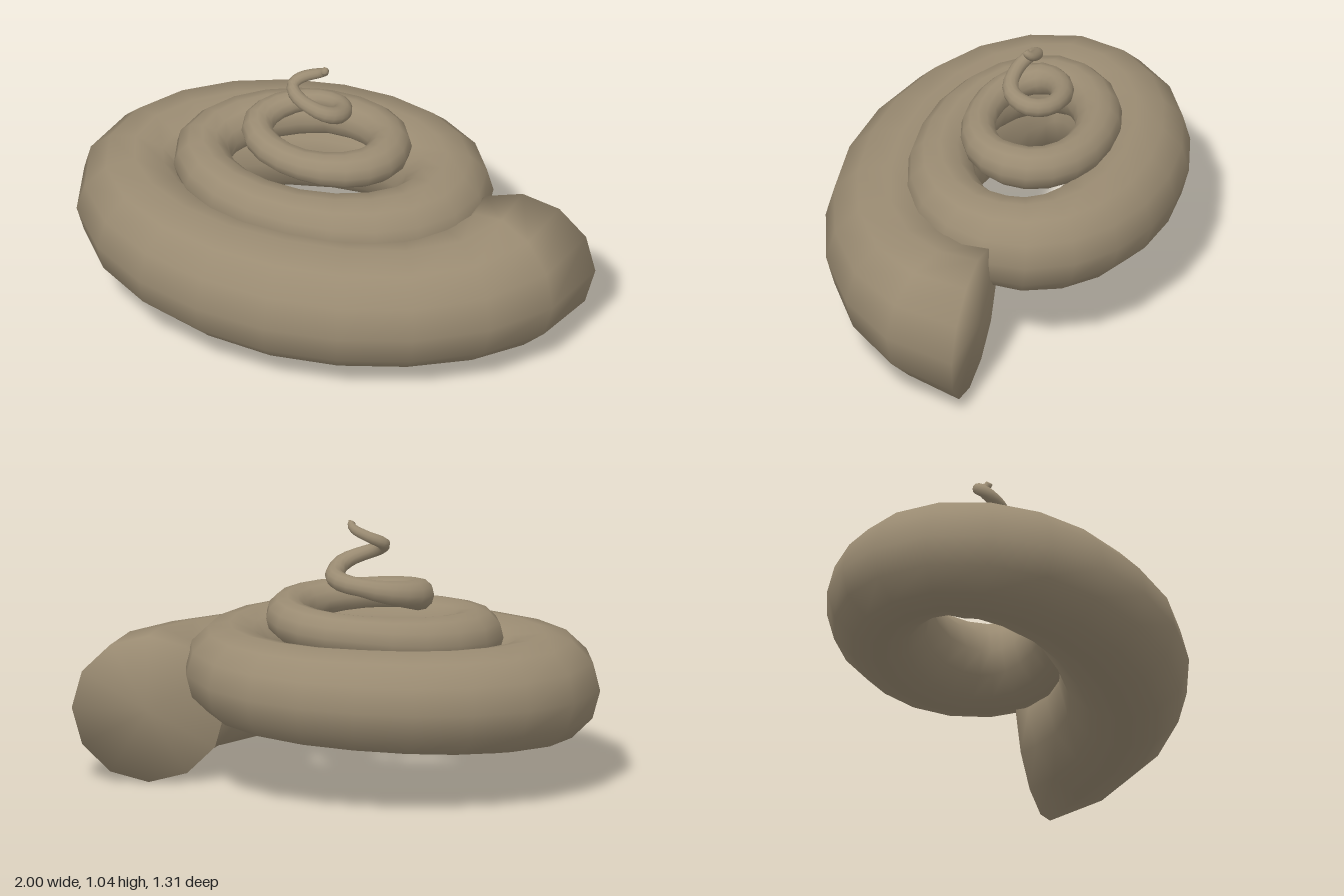
import * as THREE from 'three';

// Spiral from the wide mouth to the tip: [quarter turns, x radius, z radius, height, thickness]
const KEYS = [
  [0, 0.81, 0.53, 0.292, 0.291],
  [0.5, 0.795, 0.525, 0.315, 0.243],
  [1, 0.745, 0.487, 0.336, 0.247],
  [2, 0.688, 0.437, 0.39, 0.214],
  [3, 0.592, 0.38, 0.44, 0.197],
  [4, 0.497, 0.347, 0.477, 0.172],
  [5, 0.46, 0.314, 0.555, 0.116],
  [6, 0.427, 0.282, 0.592, 0.108],
  [7, 0.353, 0.249, 0.652, 0.082],
  [8, 0.282, 0.212, 0.68, 0.081],
  [9, 0.247, 0.176, 0.711, 0.06],
  [10, 0.213, 0.147, 0.753, 0.06],
  [11, 0.155, 0.118, 0.81, 0.036],
  [12, 0.1, 0.086, 0.84, 0.036],
  [13, 0.09, 0.057, 0.897, 0.028],
  [14, 0.081, 0.04, 0.95, 0.024],
  [15, 0.06, 0.025, 0.995, 0.02],
  [16, 0.04, 0.02, 1.035, 0.014]
];

// Interpolated radii, height and thickness after q quarter turns
function sample(q) {
  const i = Math.max(0, KEYS.findLastIndex((key, n) => key[0] <= q && n < KEYS.length - 1));
  const [a, b] = [KEYS[i], KEYS[i + 1]];
  const f = (q - a[0]) / (b[0] - a[0]);
  return a.slice(1).map((v, n) => THREE.MathUtils.lerp(v, b[n + 1], f));
}

// Centre of the coil after q quarter turns
function centre(q) {
  const t = (q * Math.PI) / 2;
  const [rx, rz, y] = sample(q);
  return new THREE.Vector3(-0.1 + rx * Math.cos(t), y, -0.08 + rz * Math.sin(t));
}

function coilGeometry(rings, sides) {
  const positions = [], index = [];
  const up = new THREE.Vector3(0, 1, 0);
  for (let i = 0; i <= rings; i++) {
    const q = (i / rings) * 16;
    const c = centre(q);
    const tangent = centre(q + 0.1).sub(centre(q - 0.1)).normalize();
    const out = up.clone().cross(tangent).normalize();
    const rise = tangent.clone().cross(out);
    const r = sample(q)[3];
    for (let j = 0; j < sides; j++) {
      const p = (j / sides) * Math.PI * 2;
      const v = c.clone().addScaledVector(out, r * Math.cos(p)).addScaledVector(rise, r * Math.sin(p));
      positions.push(v.x, Math.max(v.y, 0), v.z);
    }
  }
  for (let i = 0; i < rings; i++) {
    for (let j = 0; j < sides; j++) {
      const k = (j + 1) % sides;
      const a = i * sides + j, b = i * sides + k;
      index.push(a, b, a + sides, b, b + sides, a + sides);
    }
  }
  // Slightly domed mouth and closed tip
  const mouth = positions.length / 3, tip = mouth + 1, last = rings * sides;
  const m = centre(0), e = centre(16);
  positions.push(m.x, m.y, m.z - 0.025, e.x, e.y, e.z);
  for (let j = 0; j < sides; j++) {
    const k = (j + 1) % sides;
    index.push(mouth, k, j, tip, last + j, last + k);
  }
  const geometry = new THREE.BufferGeometry();
  geometry.setAttribute('position', new THREE.Float32BufferAttribute(positions, 3));
  geometry.setIndex(index);
  geometry.computeVertexNormals();
  return geometry;
}

export function createModel() {
  const group = new THREE.Group();
  group.name = 'spiralCoil';
  const material = new THREE.MeshStandardMaterial({ color: 0x9a8b72 });
  const coil = new THREE.Mesh(coilGeometry(80, 12), material);
  coil.name = 'taperedCoil';
  group.add(coil);
  return group;
}
